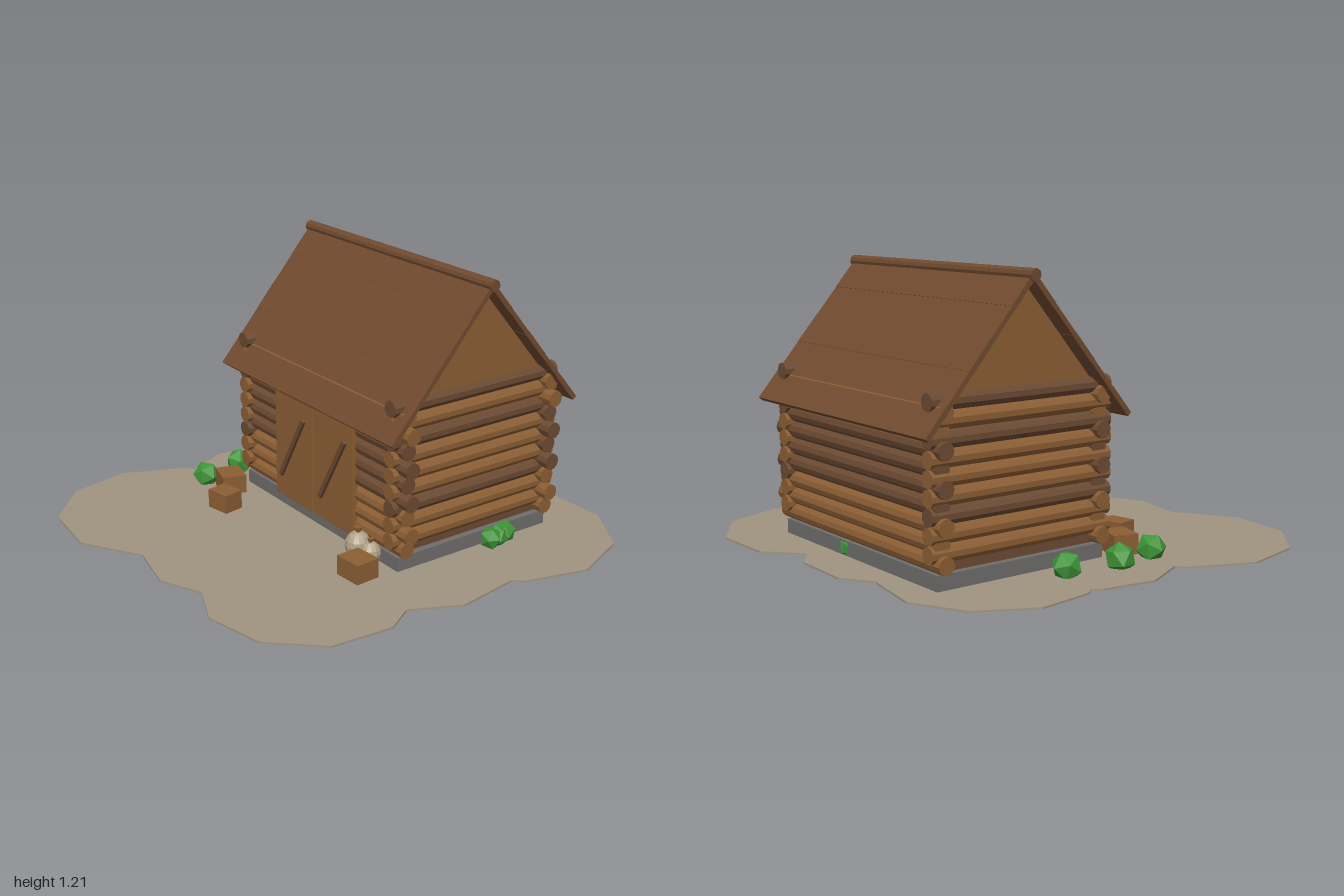
import * as THREE from 'three';

const mat = (name, color) => {
  const m = new THREE.MeshStandardMaterial({ color, flatShading: true });
  m.name = name;
  return m;
};

export function createModel() {
  const M = {
    light: mat('light wood', 0x8b5e34),
    dark: mat('dark wood', 0x6b4a32),
    roof: mat('roof wood', 0x704a2f),
    ground: mat('dirt', 0xa09480),
    stone: mat('foundation stone', 0x6e6d6b),
    leaf: mat('leaf green', 0x3f9436),
    sack: mat('sack cloth', 0xb0a287),
  };
  const model = new THREE.Group();
  model.name = 'logCabin';
  const add = (name, geo, material, x, y, z, parent = model) => {
    const m = new THREE.Mesh(geo, material);
    m.name = name;
    m.position.set(x, y, z);
    parent.add(m);
    return m;
  };
  const box = (w, h, d) => new THREE.BoxGeometry(w, h, d);
  const CX = -0.005, CZ = -0.342;

  // Irregular dirt patch, a thin slab
  const outline = [
    [-0.82, -0.785], [-0.595, -0.9], [-0.335, -0.855], [-0.31, -0.845], [-0.175, -0.935], [0.1, -0.93],
    [0.2, -0.855], [0.355, -0.99], [0.645, -1], [0.885, -0.85], [0.99, -0.585], [0.915, -0.31],
    [0.88, -0.27], [0.925, 0.015], [0.825, 0.225], [0.9, 0.35], [0.88, 0.62], [0.7, 0.82],
    [0.435, 0.88], [0.245, 0.8], [0.06, 0.885], [-0.18, 0.835], [-0.435, 0.995], [-0.725, 0.965],
    [-0.935, 0.78], [-1, 0.505], [-0.885, 0.235], [-0.845, 0.2], [-0.94, 0.005], [-0.905, -0.23],
    [-0.88, -0.27], [-0.91, -0.3], [-0.945, -0.55],
  ];
  const patch = new THREE.Shape(outline.map(([x, z]) => new THREE.Vector2(x, -z)));
  const patchGeo = new THREE.ExtrudeGeometry(patch, { depth: 0.008, bevelEnabled: false });
  patchGeo.rotateX(-Math.PI / 2);
  add('ground', patchGeo, M.ground, 0, 0.031, 0);

  // Foundation and the wall core behind the logs
  add('foundation', box(1.13, 0.07, 0.81), M.stone, CX, 0.066, CZ);
  add('wallCore', box(1.07, 0.64, 0.75), M.dark, CX, 0.42, CZ);

  // Interlocking log walls: long logs along x, short logs along z half a step higher
  const R = 0.036, STEP = 0.0715;
  const longTones = 'lllddldll'.replace('dl', 'dd'), shortTones = 'lldllldld';
  const tone = (c) => (c === 'l' ? M.light : M.dark);
  const longGeo = new THREE.CylinderGeometry(R, R, 1.19, 10).rotateZ(Math.PI / 2);
  const shortGeo = new THREE.CylinderGeometry(R, R, 0.866, 10).rotateX(Math.PI / 2);
  for (let i = 0; i < 9; i++) {
    for (const s of [1, -1]) {
      add('longLog', longGeo, tone(longTones[i]), i % 2 ? 0.023 : -0.005, 0.139 + i * STEP, CZ + s * 0.381);
      add('shortLog', shortGeo, tone(shortTones[i]), CX + s * 0.54, 0.175 + i * STEP, CZ + 0.004);
    }
  }

  // Gable triangles
  const tri = new THREE.Shape([[-0.345, 0.77], [0.345, 0.77], [0, 1.172]].map((p) => new THREE.Vector2(...p)));
  const gableGeo = new THREE.ExtrudeGeometry(tri, { depth: 0.03, bevelEnabled: false });
  gableGeo.translate(0, 0, -0.015).rotateY(Math.PI / 2);
  for (const s of [1, -1]) add('gable', gableGeo, M.light, CX + s * 0.54, 0, CZ);

  // Roof: five planks on each slope, and a round ridge beam
  const run = 0.487, drop = 0.568, slope = Math.hypot(run, drop), plank = slope / 5;
  for (const turn of [0, Math.PI]) {
    const side = new THREE.Group();
    side.name = 'roofSide';
    side.position.set(CX, 1.192, CZ);
    side.rotation.y = turn;
    const tilt = new THREE.Group();
    tilt.name = 'roofSlope';
    tilt.rotation.x = Math.atan2(drop, run);
    for (let i = 0; i < 5; i++) {
      add('roofPlank', box(1.255, i % 2 ? 0.019 : 0.022, plank), M.roof, 0, 0, (i + 0.5) * plank, tilt);
    }
    side.add(tilt);
    model.add(side);
  }
  add('ridgeBeam', new THREE.CylinderGeometry(0.025, 0.025, 1.275, 10).rotateZ(Math.PI / 2), M.roof, CX, 1.196, CZ);

  // Double doors with diagonal braces
  for (const s of [-1, 1]) {
    add('door', box(0.276, 0.57, 0.03), M.light, CX + s * 0.147, 0.385, 0.075);
    const brace = add('doorBrace', box(0.022, 0.355, 0.015), M.dark, CX + s * 0.15, 0.355, 0.096);
    brace.rotation.z = -0.52;
  }

  // Crates: x, z, width, depth, turn
  for (const [x, z, w, d, turn] of [
    [-0.548, 0.175, 0.13, 0.11, -0.27], [-0.387, 0.305, 0.115, 0.095, 0.19], [0.49, 0.213, 0.128, 0.112, 0.07],
  ]) {
    add('crate', box(w, 0.1, d), M.light, x, 0.074, z).rotation.y = turn;
  }

  // Tied sacks: x, z, radius
  for (const [x, z, r] of [[0.355, 0.112, 0.056], [0.425, 0.1, 0.045]]) {
    const body = add('sack', new THREE.SphereGeometry(r, 12, 8), M.sack, x, 0.036 + r * 1.08, z);
    body.scale.y = 1.1;
    add('sackNeck', new THREE.CylinderGeometry(r * 0.3, r * 0.15, r * 0.5, 8), M.light, x, 0.036 + r * 2.25, z);
  }

  // Bushes: x, y, z, radius
  [
    [-0.69, 0.077, -0.225, 0.064], [-0.725, 0.077, 0.02, 0.064], [-0.685, 0.075, 0.225, 0.064],
    [0.605, 0.08, -0.4, 0.05], [0.595, 0.075, -0.445, 0.05], [0.59, 0.08, -0.49, 0.05],
    [0.09, 0.07, -0.72, 0.045],
  ].forEach(([x, y, z, r], i) => {
    add('bush', new THREE.IcosahedronGeometry(r, 0), M.leaf, x, y, z).rotation.set(0.55, i * 1.3, 0);
  });

  return model;
}
